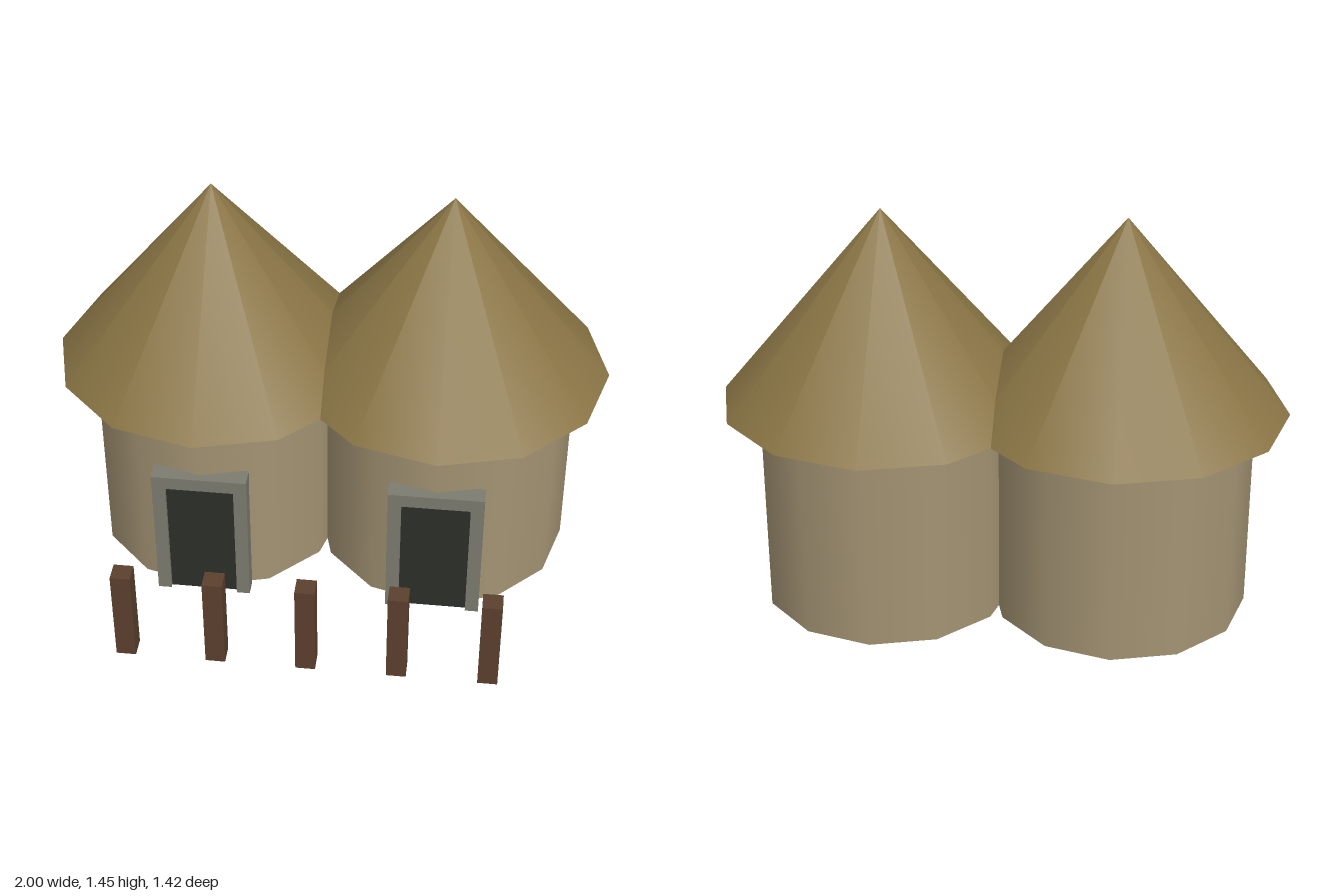
import * as THREE from 'three';

const material = (color) => new THREE.MeshStandardMaterial({ color });
const thatch = material(0x8a7545);
const clay = material(0xa39373);
const stone = material(0x7b7b70);
const dark = material(0x2c2e2a);
const wood = material(0x5c402d);

function add(parent, name, geometry, mat, x, y, z) {
  const mesh = new THREE.Mesh(geometry, mat);
  mesh.name = name;
  mesh.position.set(x, y, z);
  parent.add(mesh);
  return mesh;
}

const box = (w, h, d) => new THREE.BoxGeometry(w, h, d);

// One round hut with a doorway facing +z
function createHut(name, x) {
  const hut = new THREE.Group();
  hut.name = name;
  hut.position.set(x, 0, -0.13);

  add(hut, 'wall', new THREE.CylinderGeometry(0.46, 0.46, 0.75, 12), clay, 0, 0.375, 0);
  add(hut, 'roof', new THREE.ConeGeometry(0.58, 0.7, 12), thatch, 0, 1.1, 0);

  // Doorway
  add(hut, 'door', box(0.25, 0.485, 0.05), dark, 0, 0.2425, 0.445);
  for (const side of [-1, 1]) {
    add(hut, side < 0 ? 'rightJamb' : 'leftJamb', box(0.048, 0.49, 0.06), stone, side * 0.146, 0.245, 0.455);
  }
  add(hut, 'lintel', box(0.34, 0.05, 0.07), stone, 0, 0.505, 0.455);
  return hut;
}

export function createModel() {
  const model = new THREE.Group();
  model.name = 'twinHuts';
  model.add(createHut('rightHut', -0.42), createHut('leftHut', 0.42));

  // Row of fence posts in front
  const fence = new THREE.Group();
  fence.name = 'fence';
  for (let i = -2; i <= 2; i++) {
    add(fence, 'fencePost', box(0.07, 0.36, 0.07), wood, i * 0.32, 0.18, 0.675);
  }
  model.add(fence);
  return model;
}
